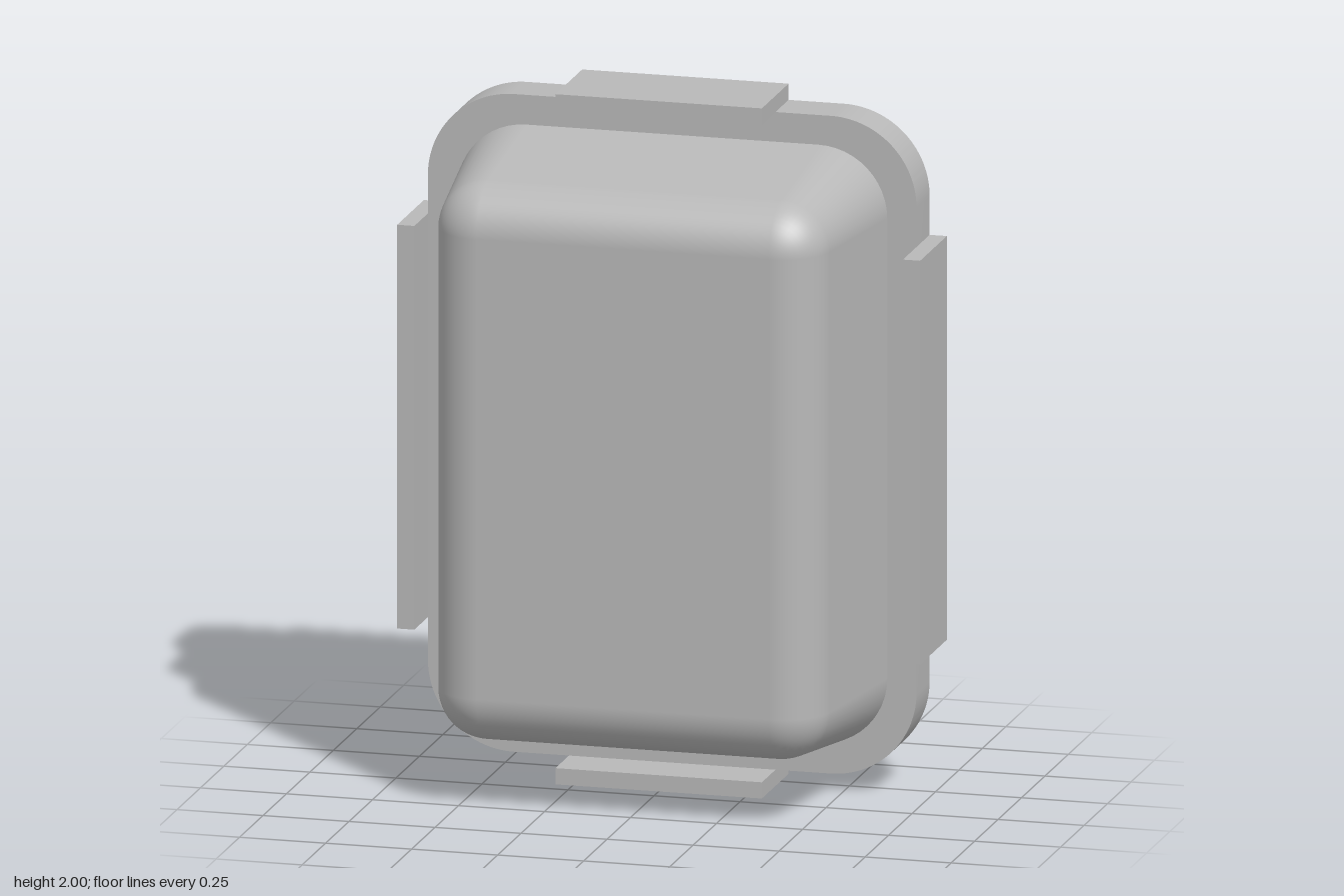
import * as THREE from 'three';
import { toCreasedNormals } from 'three/addons/utils/BufferGeometryUtils.js';

const BACK = -0.335, SEAM = -0.195, FRONT = 0.335, MID = 1;

// Rounded rectangle centred on the origin
function roundedRect(hx, hy, r, Type = THREE.Shape) {
  const s = new Type();
  s.absarc(hx - r, hy - r, r, 0, Math.PI / 2);
  s.absarc(-hx + r, hy - r, r, Math.PI / 2, Math.PI);
  s.absarc(-hx + r, -hy + r, r, Math.PI, Math.PI * 1.5);
  s.absarc(hx - r, -hy + r, r, Math.PI * 1.5, Math.PI * 2);
  s.closePath();
  return s;
}

function extrude(shape, z0, z1) {
  const g = new THREE.ExtrudeGeometry(shape, { depth: z1 - z0, bevelEnabled: false, curveSegments: 20 });
  g.translate(0, MID, z0);
  return toCreasedNormals(g, 0.6);
}

// Tapered tub: rounded-rectangle rings along a drafted wall and a front fillet
function tubGeometry() {
  const hx = 0.625, hy = 0.867, fillet = 0.145, draft = 0.139;
  const centreZ = FRONT - fillet;
  const tangentZ = centreZ + fillet * Math.sin(draft);
  const wallInset = (tangentZ - SEAM) * Math.tan(draft);
  const corner = wallInset + fillet * Math.cos(draft);
  const rings = [{ z: SEAM, r: corner, a: draft }];
  const steps = 12, seg = 12;
  for (let i = 0; i <= steps; i++) {
    const a = draft + (Math.PI / 2 - draft) * i / steps;
    rings.push({ z: centreZ + fillet * Math.sin(a), r: fillet * Math.cos(a), a });
  }
  const pos = [], nor = [], idx = [];
  const n = 4 * (seg + 1);
  for (const { z, r, a } of rings) {
    for (let q = 0; q < 4; q++) {
      const cx = (q === 0 || q === 3 ? 1 : -1) * (hx - corner);
      const cy = (q < 2 ? 1 : -1) * (hy - corner);
      for (let i = 0; i <= seg; i++) {
        const t = (q + i / seg) * Math.PI / 2;
        const c = Math.cos(t), s = Math.sin(t);
        pos.push(cx + r * c, MID + cy + r * s, z);
        nor.push(c * Math.cos(a), s * Math.cos(a), Math.sin(a));
      }
    }
  }
  for (let k = 0; k < rings.length - 1; k++) {
    for (let i = 0; i < n; i++) {
      const a = k * n + i, b = k * n + (i + 1) % n;
      idx.push(a, b, b + n, a, b + n, a + n);
    }
  }
  // flat front
  const last = (rings.length - 1) * n;
  pos.push(0, MID, FRONT);
  nor.push(0, 0, 1);
  for (let i = 0; i < n; i++) idx.push(rings.length * n, last + i, last + (i + 1) % n);

  const g = new THREE.BufferGeometry();
  g.setAttribute('position', new THREE.Float32BufferAttribute(pos, 3));
  g.setAttribute('normal', new THREE.Float32BufferAttribute(nor, 3));
  g.setIndex(idx);
  return g;
}

export function createModel() {
  const group = new THREE.Group();
  const grey = new THREE.MeshStandardMaterial({ color: 0xb8b8b8 });
  grey.name = 'grey plastic';
  const add = (name, geometry) => {
    const m = new THREE.Mesh(geometry, grey);
    m.name = name;
    group.add(m);
    return m;
  };

  add('tub', tubGeometry());

  // Lid: rim around a recessed panel
  const rim = roundedRect(0.71, 0.953, 0.25);
  rim.holes.push(roundedRect(0.6, 0.843, 0.17, THREE.Path));
  add('lidRim', extrude(rim, BACK, SEAM));
  add('lidPanel', extrude(roundedRect(0.6, 0.843, 0.17), BACK + 0.06, SEAM));

  // Locking flaps on the four sides
  const depth = 0.285, z = BACK + depth / 2;
  for (const s of [1, -1]) {
    add(s > 0 ? 'leftFlap' : 'rightFlap', new THREE.BoxGeometry(0.05, 1.17, depth))
      .position.set(s * 0.735, 1.005, z);
    add(s > 0 ? 'topFlap' : 'bottomFlap', new THREE.BoxGeometry(0.6, 0.047, depth))
      .position.set(0, MID + s * 0.9765, z);
  }
  return group;
}
